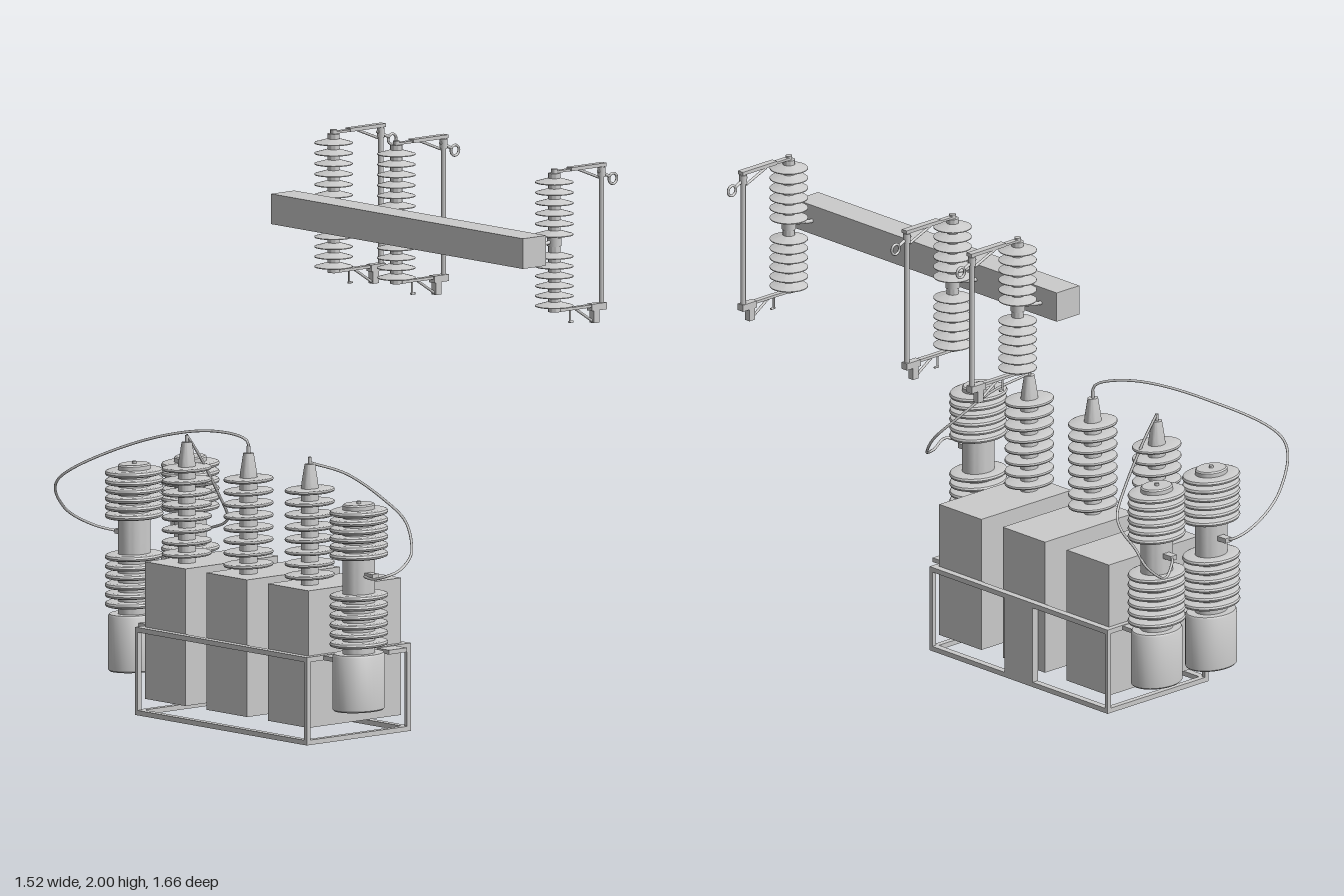
import * as THREE from 'three';
import { toCreasedNormals } from 'three/addons/utils/BufferGeometryUtils.js';

const material = new THREE.MeshStandardMaterial({ color: 0xcccccc, side: THREE.DoubleSide });

function add(parent, geometry, name, x = 0, y = 0, z = 0) {
  const mesh = new THREE.Mesh(geometry, material);
  mesh.name = name;
  mesh.position.set(x, y, z);
  parent.add(mesh);
  return mesh;
}

// Box given by its low and high corners
function block(parent, name, x0, x1, y0, y1, z0, z1) {
  return add(parent, new THREE.BoxGeometry(x1 - x0, y1 - y0, z1 - z0), name,
    (x0 + x1) / 2, (y0 + y1) / 2, (z0 + z1) / 2);
}

// Round rod between two points
function rod(parent, name, a, b, radius) {
  const p = new THREE.Vector3(...a), q = new THREE.Vector3(...b);
  const mesh = add(parent, new THREE.CylinderGeometry(radius, radius, p.distanceTo(q), 12), name);
  mesh.position.copy(p).lerp(q, 0.5);
  mesh.quaternion.setFromUnitVectors(new THREE.Vector3(0, 1, 0), q.sub(p).normalize());
  return mesh;
}

function lathe(points) {
  const geometry = new THREE.LatheGeometry(points.map(p => new THREE.Vector2(...p)), 36);
  return toCreasedNormals(geometry, 0.6);
}

// Rounded sheds stacked from y0 to y1 around a core
function roundSheds(y0, y1, count, core, radius, half) {
  const points = [];
  for (let i = 0; i < count; i++) {
    const y = y0 + (y1 - y0) * i / (count - 1);
    points.push([core, y - half], [radius - half, y - half], [radius - half * 0.3, y - half * 0.7],
      [radius, y], [radius - half * 0.3, y + half * 0.7], [radius - half, y + half], [core, y + half]);
  }
  return points;
}

// Thin sheds with a flat underside and a sloping top
function sharpSheds(y0, y1, count, core, radius) {
  const points = [];
  for (let i = 0; i < count; i++) {
    const y = y0 + (y1 - y0) * i / (count - 1);
    points.push([core, y - 0.005], [radius, y - 0.005], [radius, y - 0.002], [core, y + 0.012]);
  }
  return points;
}

function wire(parent, points) {
  const curve = new THREE.CatmullRomCurve3(points.map(p => new THREE.Vector3(...p)));
  add(parent, new THREE.TubeGeometry(curve, 80, 0.005, 8), 'cable');
}

// Oval surge arrester with two shed stacks above a canister
function arrester(parent, x, z) {
  const g = new THREE.Group();
  g.name = 'surgeArrester';
  g.position.set(x, 0, z);
  const body = lathe([[0, 0.135], [0.076, 0.135], [0.08, 0.14], [0.08, 0.335], [0.076, 0.342], [0.05, 0.342],
    ...roundSheds(0.378, 0.55, 6, 0.05, 0.09, 0.01), [0.05, 0.69],
    ...roundSheds(0.7, 0.855, 6, 0.05, 0.09, 0.0105), [0.05, 0.88], [0.046, 0.885], [0, 0.885]]);
  add(g, body, 'arresterBody').scale.z = 1.3;
  add(g, new THREE.CylinderGeometry(0.008, 0.008, 0.012, 12), 'topStud', 0, 0.888, 0);
  const s = Math.sign(x);
  add(g, new THREE.BoxGeometry(0.05, 0.018, 0.03), 'terminal', s * 0.065, 0.63, 0);
  parent.add(g);
}

// Oval bushing standing on a tank
function bushing(parent, x, z) {
  const body = lathe([[0, 0.55], [0.027, 0.55], ...roundSheds(0.59, 0.9, 8, 0.027, 0.077, 0.007),
    [0.025, 0.93], [0.016, 0.995], [0, 0.995]]);
  const mesh = add(parent, body, 'bushing', x, 0, z);
  mesh.scale.z = 1.3;
  add(parent, new THREE.CylinderGeometry(0.007, 0.007, 0.04, 12), 'bushingStud', x, 1.0, z);
}

// Fuse cutout: shed insulator, end brackets, hinged fuse tube and pull ring
function cutout(parent, x) {
  const g = new THREE.Group();
  g.name = 'fuseCutout';
  g.position.x = x;
  const body = lathe([[0, 1.48], [0.022, 1.48], ...sharpSheds(1.505, 1.685, 6, 0.022, 0.069),
    ...sharpSheds(1.765, 1.955, 6, 0.022, 0.069), [0.022, 1.985], [0.012, 1.985], [0.012, 2], [0, 2]]);
  add(g, body, 'cutoutInsulator', 0, 0, -0.53);
  rod(g, 'mountingArm', [0, 1.72, -0.41], [0, 1.725, -0.455], 0.007);
  rod(g, 'mountingArm', [0, 1.725, -0.45], [0, 1.74, -0.53], 0.007);
  add(g, new THREE.CylinderGeometry(0.026, 0.026, 0.03, 24), 'mountingBand', 0, 1.735, -0.53);
  // Upper contact
  block(g, 'upperBar', -0.01, 0.01, 1.985, 1.993, -0.61, -0.53);
  block(g, 'upperContact', -0.013, 0.013, 1.985, 1.998, -0.77, -0.6);
  rod(g, 'upperStrut', [-0.008, 1.985, -0.65], [-0.008, 1.945, -0.75], 0.005);
  rod(g, 'upperHook', [0, 1.97, -0.74], [0, 1.945, -0.795], 0.006);
  add(g, new THREE.TorusGeometry(0.019, 0.005, 8, 24), 'pullRing', 0, 1.935, -0.812).rotation.y = Math.PI / 2;
  // Fuse tube
  rod(g, 'fuseTube', [0, 1.475, -0.757], [0, 1.99, -0.757], 0.01);
  add(g, new THREE.CylinderGeometry(0.014, 0.014, 0.035, 16), 'tubeCap', 0, 1.965, -0.757);
  // Lower hinge
  block(g, 'lowerBar', -0.01, 0.01, 1.478, 1.488, -0.76, -0.53);
  block(g, 'lowerHinge', -0.014, 0.014, 1.465, 1.49, -0.77, -0.7);
  block(g, 'hingeBlock', -0.012, 0.012, 1.42, 1.48, -0.737, -0.71);
  rod(g, 'lowerStrut', [0, 1.48, -0.63], [0, 1.425, -0.715], 0.005);
  rod(g, 'lowerTab', [0, 1.485, -0.605], [0, 1.435, -0.605], 0.004);
  rod(g, 'lowerTabFoot', [0, 1.435, -0.6], [0, 1.435, -0.62], 0.004);
  parent.add(g);
}

export function createModel() {
  const model = new THREE.Group();
  model.name = 'poleSwitchgear';

  // Crossarm and fuse cutouts
  block(model, 'crossarm', -0.685, 0.675, 1.67, 1.78, -0.415, -0.303);
  for (const x of [-0.602, -0.263, 0.59]) cutout(model, x);

  // Tanks with bushings
  for (const x of [-0.34, -0.007, 0.324]) {
    block(model, 'tank', x - 0.11, x + 0.11, 0.058, 0.557, 0.068, 0.514);
    bushing(model, x, 0.41);
  }

  // Support frame
  const [L, R, B, F] = [-0.47, 0.457, 0.042, 0.543];
  for (const y of [0, 0.302]) {
    block(model, 'frontRail', L, R, y, y + 0.018, F - 0.026, F);
    block(model, 'backRail', L, R, y, y + 0.018, B, B + 0.026);
    block(model, 'sideRail', L, L + 0.022, y, y + 0.018, B + 0.026, F - 0.026);
    block(model, 'sideRail', R - 0.022, R, y, y + 0.018, B + 0.026, F - 0.026);
  }
  for (const x of [L, R - 0.014]) {
    for (const z of [B, F - 0.018]) block(model, 'cornerPost', x, x + 0.014, 0.018, 0.302, z, z + 0.018);
  }
  block(model, 'backPlate', -0.08, 0.066, 0.018, 0.315, B, B + 0.026);
  for (const z of [0.16, 0.42]) {
    block(model, 'arresterArm', -0.56, L, 0.302, 0.318, z - 0.043, z + 0.043);
    block(model, 'arresterArm', R, 0.52, 0.302, 0.318, z - 0.043, z + 0.043);
  }

  // Surge arresters
  arrester(model, -0.613, 0.15);
  arrester(model, -0.613, 0.42);
  arrester(model, 0.6, 0.42);

  // Cables from bushings to arresters
  wire(model, [[-0.007, 0.99, 0.41], [-0.01, 1.04, 0.415], [-0.12, 1.07, 0.49], [-0.34, 1.02, 0.645],
    [-0.57, 0.88, 0.82], [-0.68, 0.75, 0.7], [-0.722, 0.66, 0.52], [-0.7, 0.63, 0.425], [-0.61, 0.63, 0.42]]);
  wire(model, [[-0.34, 1.02, 0.41], [-0.34, 0.94, 0.35], [-0.342, 0.78, 0.25], [-0.365, 0.7, 0.19],
    [-0.42, 0.665, 0.155], [-0.53, 0.63, 0.12], [-0.66, 0.6, 0.062], [-0.755, 0.59, 0.055],
    [-0.73, 0.615, 0.11], [-0.69, 0.63, 0.15], [-0.61, 0.63, 0.15]]);
  wire(model, [[0.324, 1, 0.41], [0.38, 0.95, 0.28], [0.45, 0.85, 0.16], [0.51, 0.78, 0.118],
    [0.6, 0.69, 0.165], [0.68, 0.65, 0.275], [0.755, 0.64, 0.415], [0.71, 0.625, 0.445], [0.6, 0.63, 0.42]]);

  return model;
}
